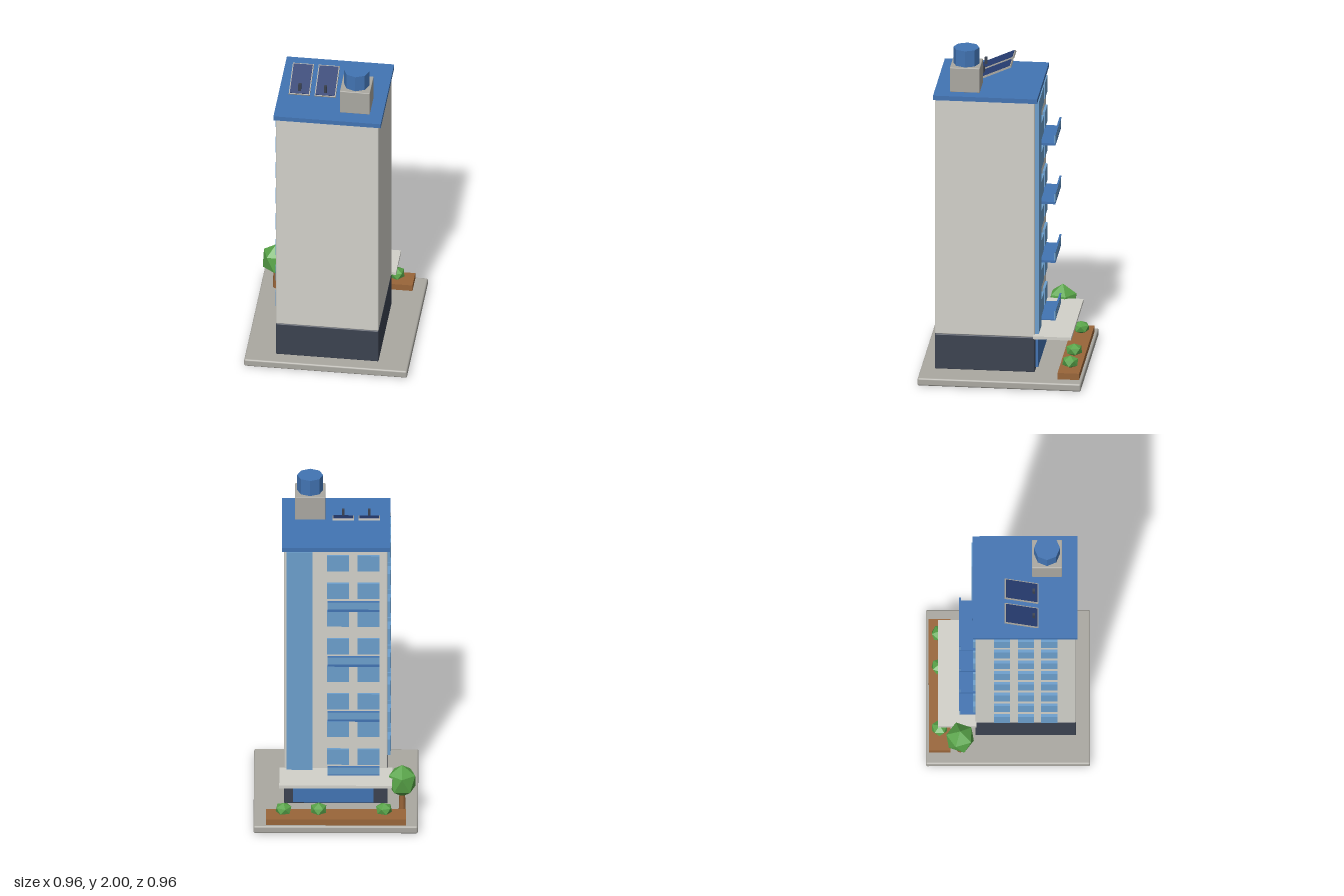
import * as THREE from 'three';
import { RoundedBoxGeometry } from 'three/addons/geometries/RoundedBoxGeometry.js';

const mat = (name, color, flatShading = false) => {
  const m = new THREE.MeshStandardMaterial({ color, flatShading });
  m.name = name;
  return m;
};

export function createModel() {
  const model = new THREE.Group();
  model.name = 'apartmentTower';

  const wall = mat('paleWall', 0xd2d1ca);
  const concrete = mat('greyConcrete', 0xaaa8a1);
  const dark = mat('darkPodium', 0x3b4250);
  const blue = mat('blueTrim', 0x4274b3, true);
  const glass = mat('windowGlass', 0x6c9fcd);
  const navy = mat('solarCell', 0x263c70);
  const brown = mat('brownSoil', 0x996539);
  const leaf = mat('greenLeaf', 0x58a348, true);

  const add = (name, geometry, material, x, y, z, parent = model) => {
    const mesh = new THREE.Mesh(geometry, material);
    mesh.name = name;
    mesh.position.set(x, y, z);
    parent.add(mesh);
    return mesh;
  };

  // Box given by its limits on each axis, with an optional bevel
  const block = (name, material, [x0, x1], [y0, y1], [z0, z1], bevel = 0, parent = model) => {
    const size = [x1 - x0, y1 - y0, z1 - z0];
    const geometry = bevel
      ? new RoundedBoxGeometry(...size, 2, bevel)
      : new THREE.BoxGeometry(...size);
    return add(name, geometry, material, (x0 + x1) / 2, (y0 + y1) / 2, (z0 + z1) / 2, parent);
  };

  // Ground slab, podium, tower and roof
  block('groundSlab', concrete, [-0.48, 0.48], [0, 0.047], [-0.48, 0.48], 0.01);
  block('podium', dark, [-0.302, 0.302], [0.044, 0.262], [-0.19, 0.397], 0.006);
  block('tower', wall, [-0.302, 0.302], [0.262, 1.725], [-0.19, 0.397], 0.007);
  block('roof', blue, [-0.316, 0.316], [1.722, 1.75], [-0.206, 0.406]);

  // Back: stairwell glazing, entrance and canopy
  block('stairGlazing', glass, [0.137, 0.288], [0.28, 1.722], [-0.213, -0.185]);
  block('entrance', blue, [-0.22, 0.25], [0.06, 0.262], [-0.205, -0.185]);
  block('canopy', wall, [-0.33, 0.33], [0.262, 0.28], [-0.408, -0.183]);

  // Windows: two columns on the back, three on the side, eight floors
  const floors = 8;
  const windows = new THREE.Group();
  windows.name = 'windows';
  model.add(windows);
  for (let f = 0; f < floors; f++) {
    const y = 0.36 + f * 0.1833;
    const rows = [y - 0.051, y + 0.051];
    for (const x of [-0.19, -0.013])
      block('backWindow', glass, [x - 0.064, x + 0.064], rows, [-0.204, -0.185], 0, windows);
    for (const z of [-0.035, 0.105, 0.24])
      block('sideWindow', glass, [-0.32, -0.298], rows, [z - 0.048, z + 0.048], 0, windows);
  }

  // Balconies on every second floor
  for (let i = 0; i < 4; i++) {
    const balcony = new THREE.Group();
    balcony.name = 'balcony';
    balcony.position.y = 0.28 + i * 0.365;
    model.add(balcony);
    block('balconyFloor', blue, [-0.256, 0.049], [-0.007, 0.007], [-0.284, -0.185], 0, balcony);
    block('balconyRail', glass, [-0.256, 0.049], [0.007, 0.058], [-0.284, -0.277], 0, balcony);
    block('railCap', blue, [-0.256, 0.049], [0.056, 0.06], [-0.286, -0.275], 0, balcony);
  }

  // Tilted solar panels with posts
  for (const x of [-0.194, -0.042]) {
    const panel = new THREE.Group();
    panel.name = 'solarPanel';
    panel.position.set(x, 1.796, 0.078);
    panel.rotation.x = 0.42;
    model.add(panel);
    block('panelFrame', concrete, [-0.062, 0.062], [-0.006, 0.005], [-0.106, 0.106], 0, panel);
    block('panelCells', navy, [-0.056, 0.056], [0.004, 0.008], [-0.1, 0.1], 0, panel);
    block('panelPost', dark, [x - 0.008, x + 0.008], [1.75, 1.815], [0.142, 0.158]);
  }

  // Rooftop plant room and water tank
  block('plantRoom', concrete, [0.063, 0.24], [1.748, 1.9], [0.14, 0.316], 0.004);
  add('waterTank', new THREE.CylinderGeometry(0.076, 0.076, 0.102, 8), blue, 0.152, 1.949, 0.228);

  // Planting: faceted crowns with a vertex at the top
  const crownGeometry = new THREE.IcosahedronGeometry(1, 0);
  crownGeometry.rotateZ(-Math.atan(2 / (1 + Math.sqrt(5))));
  const crown = (name, x, y, z, r, h, turn) => {
    const mesh = add(name, crownGeometry, leaf, x, y, z);
    mesh.scale.set(r, h, r);
    mesh.rotation.y = turn;
  };
  block('planter', brown, [-0.41, 0.407], [0.04, 0.086], [-0.463, -0.336]);
  [-0.282, 0.1, 0.305].forEach((x, i) => crown('bush', x, 0.122, -0.4, 0.052, 0.038, i * 0.9));
  add('treeTrunk', new THREE.CylinderGeometry(0.016, 0.021, 0.14, 8), brown, -0.388, 0.112, -0.28);
  crown('treeCrown', -0.388, 0.245, -0.28, 0.09, 0.104, 0.3);

  return model;
}
